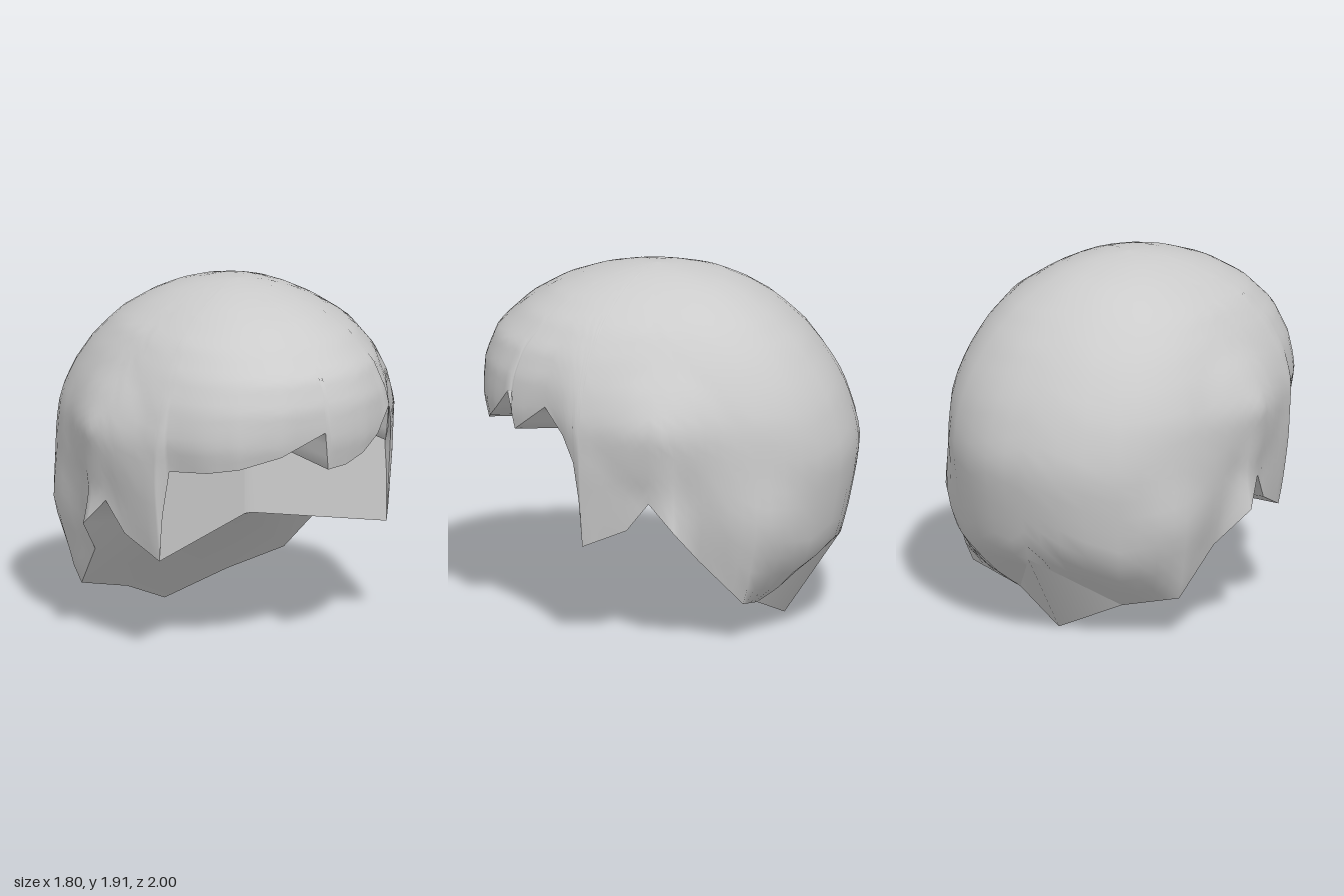
import * as THREE from 'three';

const V = (x, y, z) => new THREE.Vector3(x, y, z);
const TOP = 1.915, MID_Z = 0.08;

// Horizontal sections of the cap: height, half width, front z, back z
const SECTIONS = [
  [0, 0.85, 0.95, -0.4], [0.14, 0.85, 0.95, -0.5], [0.22, 0.84, 0.95, -0.62], [0.45, 0.8, 0.97, -0.9],
  [0.6, 0.81, 0.97, -0.94], [0.8, 0.82, 0.96, -0.98], [0.95, 0.83, 0.96, -1], [1.06, 0.83, 0.97, -0.985],
  [1.2, 0.83, 1, -0.94], [1.28, 0.81, 1, -0.91], [1.4, 0.77, 0.99, -0.84], [1.55, 0.69, 0.93, -0.73],
  [1.69, 0.58, 0.78, -0.58], [1.79, 0.43, 0.62, -0.43], [1.85, 0.31, 0.46, -0.3], [1.89, 0.19, 0.3, -0.14],
  [1.907, 0.1, 0.19, -0.03], [TOP, 0, MID_Z, MID_Z],
];

// Gentle peaks over the ears and behind them: position, height, reach
const PEAKS = [[V(0.84, 1.2, 0), 0.075, 0.36], [V(0.72, 0.66, -0.57), 0.05, 0.28]];

// Front hem from the right lock across the fringe to the left lock
const FRONT_HEM = [
  V(-0.73, 0.54, 0.42), V(-0.73, 0.8, 0.45), V(-0.72, 1.05, 0.5), V(-0.62, 1.07, 0.71), V(-0.5, 1.1, 0.84),
  V(-0.3, 1.16, 0.94), V(-0.05, 1.27, 0.99), V(-0.02, 1.06, 0.97), V(0.1, 1.07, 0.965), V(0.22, 1.115, 0.95),
  V(0.34, 1.19, 0.91), V(0.46, 1.315, 0.84), V(0.465, 1.11, 0.8), V(0.6, 1.27, 0.63), V(0.68, 1.14, 0.53),
  V(0.72, 1, 0.47), V(0.73, 0.8, 0.44), V(0.73, 0.54, 0.42),
];
// Left side hem from the lock to the nape
const SIDE_HEM = [
  V(0.73, 0.54, 0.42), V(0.79, 0.65, 0.18), V(0.83, 0.81, 0.06), V(0.88, 0.66, -0.08),
  V(0.72, 0.47, -0.2), V(0.65, 0.22, -0.43), V(0.32, 0.14, -0.48),
];
const NAPE_TOP = V(0, 0.45, -0.9);
const NAPE_TIP = V(0, 0, -0.6);
const THROAT = V(0, 0.645, 0.18);

const mirror = (p) => V(-p.x, p.y, p.z);
const mirrored = (list) => list.map(mirror).reverse();

// Adds points along the straight runs of a hem
function subdivide(points, n) {
  const out = [];
  for (let i = 0; i < points.length - 1; i++)
    for (let k = 0; k < n; k++) out.push(points[i].clone().lerp(points[i + 1], k / n));
  out.push(points[points.length - 1].clone());
  return out;
}

// Radius of the cap at an azimuth and height
function capRadius(angle, y) {
  let i = 0;
  while (i < SECTIONS.length - 2 && y > SECTIONS[i + 1][0]) i++;
  const [lo, hi] = [SECTIONS[i], SECTIONS[i + 1]];
  const t = THREE.MathUtils.clamp((y - lo[0]) / (hi[0] - lo[0]), 0, 1);
  const [, w, f, b] = lo.map((v, k) => v + (hi[k] - v) * t);
  if (w < 1e-5) return 0;
  const s = Math.sin(angle), c = Math.cos(angle);
  const depth = c > 0 ? f - MID_Z : MID_Z - b;
  // The right side of the forehead is fuller than the left
  const n = c > 0 && s > 0 ? 2 : 2.35;
  let r = Math.pow(Math.pow(Math.abs(s) / w, n) + Math.pow(Math.abs(c) / depth, n), -1 / n);
  const p = V(Math.abs(r * s), y, MID_Z + r * c);
  for (const [at, height, reach] of PEAKS) r += height * Math.max(0, 1 - p.distanceTo(at) / reach);
  return r;
}

// Column of points from a hem point up to the crown
function capColumn(p, rows) {
  const angle = Math.atan2(p.x, p.z - MID_Z);
  const offset = Math.hypot(p.x, p.z - MID_Z) - capRadius(angle, p.y);
  return Array.from({ length: rows + 1 }, (_, j) => {
    const t = j / rows;
    const y = p.y + (TOP - p.y) * Math.sin((t * Math.PI) / 2);
    const ease = Math.pow(Math.max(0, 1 - (y - p.y) / 0.5), 2);
    const r = j === rows ? 0 : capRadius(angle, y) + offset * ease;
    return V(r * Math.sin(angle), y, MID_Z + r * Math.cos(angle));
  });
}

function surface(points, index) {
  const g = new THREE.BufferGeometry().setFromPoints(points);
  g.setIndex(index);
  g.computeVertexNormals();
  return g;
}

// Surface through equal columns of points
function skin(columns, closed) {
  const rows = columns[0].length, n = columns.length, index = [];
  for (let i = 0; i < (closed ? n : n - 1); i++)
    for (let j = 0; j < rows - 1; j++) {
      const a = i * rows + j, b = ((i + 1) % n) * rows + j;
      index.push(a, b, a + 1, b, b + 1, a + 1);
    }
  return surface(columns.flat(), index);
}

// Smooth fan around a centre point
function fan(centre, rim) {
  const index = [];
  for (let i = 1; i < rim.length; i++) index.push(0, i + 1, i);
  return surface([centre, ...rim], index);
}

export function createModel() {
  const group = new THREE.Group();
  group.name = 'hair';
  const material = new THREE.MeshStandardMaterial({ color: 0xcccccc, side: THREE.DoubleSide });
  const add = (name, geometry) => {
    const mesh = new THREE.Mesh(geometry, material);
    mesh.name = name;
    group.add(mesh);
  };

  // Smooth outer cap with its cut fringe, locks and nape
  const front = subdivide(FRONT_HEM, 3);
  const back = subdivide([...SIDE_HEM, NAPE_TOP, ...mirrored(SIDE_HEM)], 4);
  const hem = [...front.slice(0, -1), ...back.slice(0, -1)];
  add('hairCap', skin(hem.map((p) => capColumn(p, 28)), true));

  // Recessed wall behind the face opening, with the ceiling under the fringe
  const wall = front.map((p) => {
    const k = Math.min(1, Math.abs(p.x) / 0.73);
    const z = 0.18 + 0.24 * k, foot = 0.645 - 0.105 * k;
    return [V(p.x, foot, z), V(p.x, Math.max(foot, p.y + 0.04 * (1 - k)), z)];
  });
  add('faceWall', skin(wall, false));
  add('fringeUnderside', skin(wall.map((c, i) => [c[1], front[i]]), false));

  // Hollow underside running from the throat to the side hems and nape tip
  add('underside', fan(THROAT, [...SIDE_HEM, NAPE_TIP, ...mirrored(SIDE_HEM)]));

  // Pointed tuft of hair hanging at the nape
  const corner = SIDE_HEM[SIDE_HEM.length - 1];
  add('napeTuft', fan(NAPE_TIP, [mirror(corner), NAPE_TOP, corner]));
  return group;
}
